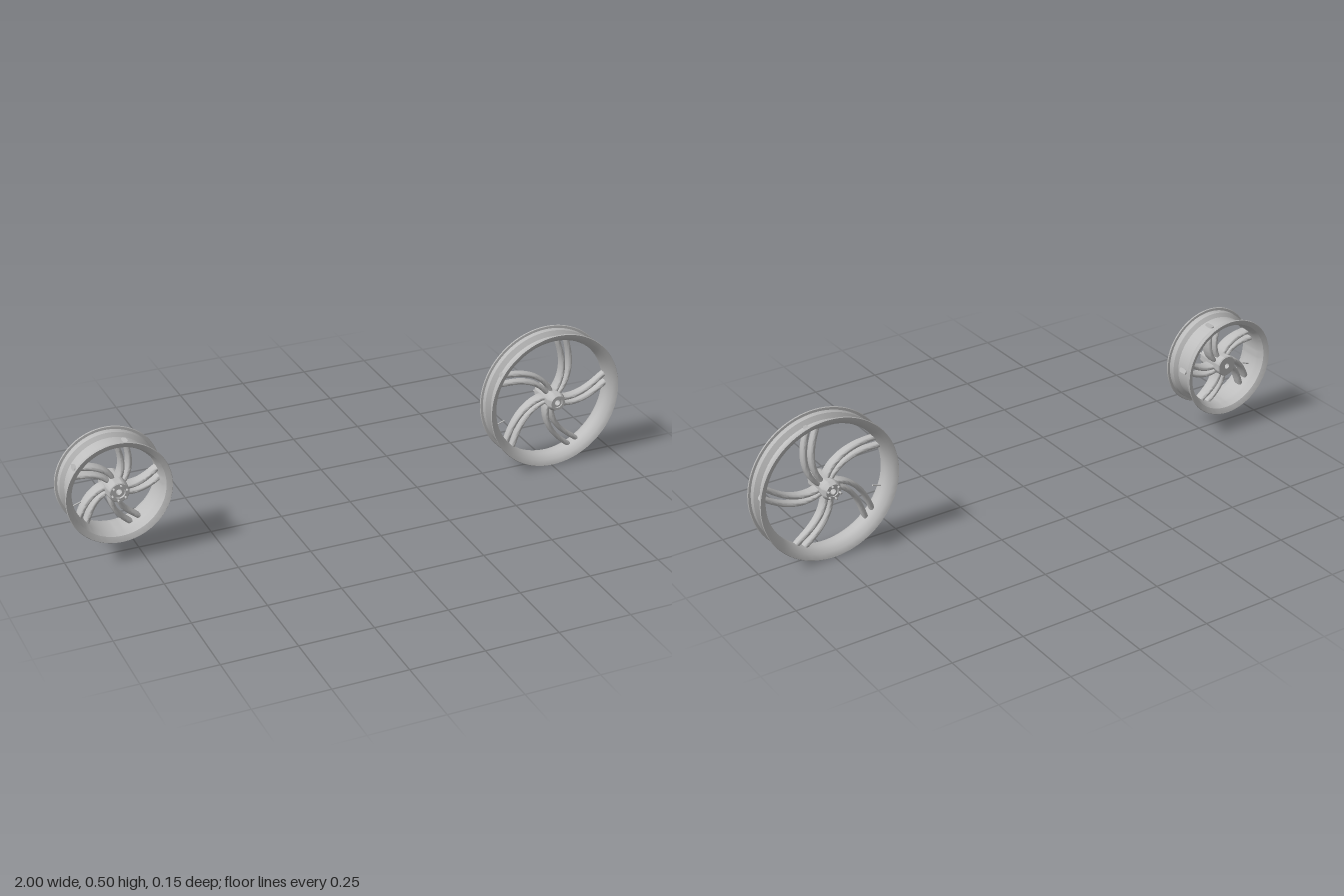
import * as THREE from 'three';
import { toCreasedNormals } from 'three/addons/utils/BufferGeometryUtils.js';

const metal = new THREE.MeshStandardMaterial({ color: 0xbdbdbd });
metal.name = 'cast grey metal';

function part(name, geometry, parent) {
  const mesh = new THREE.Mesh(geometry, metal);
  mesh.name = name;
  parent.add(mesh);
  return mesh;
}

// Closed [radius, z] profile turned about the axle
function turned(profile, segments = 72) {
  const pts = [...profile, profile[0]].map(([r, z]) => new THREE.Vector2(r, z));
  return toCreasedNormals(new THREE.LatheGeometry(pts, segments).rotateX(Math.PI / 2), 0.6);
}

// Rim: rolled flanges, bead seats, a dropped centre and a hollow inner face
function rimProfile(R, half, seat, drop, well, ramp, inner, wall) {
  const outer = [
    [seat - wall, half - 0.008], [R - 0.006, half - 0.001],
    [R - 0.002, half], [R, half - 0.003], [R - 0.002, half - 0.006],
    [seat + 0.002, half - 0.007], [seat, half - 0.011],
    [seat - 0.002, ramp + 0.006], [seat + 0.001, ramp], [drop, well],
  ];
  const bore = [[inner, well], [inner + 0.003, ramp]];
  const flip = ([r, z]) => [r, -z];
  return [
    ...outer.map(flip), ...outer.slice().reverse(),
    ...bore.slice().reverse(), ...bore.map(flip),
  ];
}

// One swept strand of a curved spoke, bent from a rounded bar
function strandGeometry(o, side) {
  const g = new THREE.CylinderGeometry(1, 1, 1, 16, 24, false).rotateZ(-Math.PI / 2);
  const p = g.attributes.position;
  const centre = (t) => {
    const r = o.r0 + (o.r1 - o.r0) * t;
    const a = THREE.MathUtils.degToRad(o.tip - o.sweep * Math.pow(Math.max(0, 1 - t), 1.2));
    return new THREE.Vector2(r * Math.cos(a), r * Math.sin(a));
  };
  const square = (v) => Math.sign(v) * Math.pow(Math.abs(v), 0.7);
  for (let i = 0; i < p.count; i++) {
    const t = p.getX(i) + 0.5;
    const c = centre(t);
    const d = centre(Math.min(1, t + 0.01)).sub(centre(Math.max(0, t - 0.01))).normalize();
    const spread = side * THREE.MathUtils.lerp(o.spread0, o.spread1, Math.sqrt(t));
    const across = spread + square(p.getY(i)) * o.width;
    const depth = THREE.MathUtils.lerp(o.depth0, o.depth1, t);
    p.setXYZ(i, c.x - d.y * across, c.y + d.x * across, square(p.getZ(i)) * depth);
  }
  return toCreasedNormals(g, 0.8);
}

function makeWheel(name, o) {
  const wheel = new THREE.Group();
  wheel.name = name;
  part('rim', turned(o.rim, 96), wheel);
  part('hub', turned(o.hub, 48), wheel);

  // Five twin-strand spokes
  const strands = [-1, 1].map((s) => strandGeometry(o.spoke, s));
  for (let i = 0; i < 5; i++) {
    const spoke = new THREE.Group();
    spoke.name = 'spoke';
    spoke.rotation.z = (i * Math.PI * 2) / 5;
    strands.forEach((g) => part('spokeStrand', g, spoke));
    wheel.add(spoke);
  }

  // Ring of bolts on one end of the hub
  const bolt = toCreasedNormals(
    new THREE.CylinderGeometry(0.0035, 0.0035, 0.018, 8).rotateX(Math.PI / 2), 0.6);
  for (let i = 0; i < 6; i++) {
    const a = (i * Math.PI) / 3 + 0.3;
    part('hubBolt', bolt, wheel).position.set(
      o.boltRadius * Math.cos(a), o.boltRadius * Math.sin(a), o.boltSide * 0.064);
  }

  // Valve stem pointing in from the rim
  const valve = part('valveStem', new THREE.CylinderGeometry(0.0025, 0.0025, 0.035, 10), wheel);
  const a = THREE.MathUtils.degToRad(199);
  valve.position.set(o.valveRadius * Math.cos(a), o.valveRadius * Math.sin(a), 0);
  valve.rotation.z = a - Math.PI / 2;
  return wheel;
}

export function createModel() {
  const model = new THREE.Group();
  model.name = 'wheelPair';

  const large = makeWheel('largeWheel', {
    rim: rimProfile(0.248, 0.045, 0.236, 0.221, 0.011, 0.021, 0.214, 0.008),
    hub: [
      [0.010, -0.058], [0.016, -0.058], [0.017, -0.062], [0.026, -0.062], [0.034, -0.045],
      [0.031, -0.025], [0.031, 0.025], [0.034, 0.045], [0.026, 0.062], [0.017, 0.062],
      [0.016, 0.058], [0.010, 0.058],
    ],
    spoke: {
      r0: 0.024, r1: 0.219, tip: 81, sweep: 40, width: 0.0085,
      spread0: 0.006, spread1: 0.016, depth0: 0.021, depth1: 0.013,
    },
    boltRadius: 0.022, boltSide: -1, valveRadius: 0.2,
  });
  large.position.set(0.752, 0.248, 0);

  const small = makeWheel('smallWheel', {
    rim: rimProfile(0.178, 0.065, 0.166, 0.154, 0.028, 0.038, 0.147, 0.008),
    hub: [
      [0.010, -0.050], [0.034, -0.050], [0.037, -0.046], [0.037, 0.030], [0.034, 0.058],
      [0.031, 0.061], [0.020, 0.061], [0.019, 0.055], [0.010, 0.055],
    ],
    spoke: {
      r0: 0.028, r1: 0.152, tip: 79, sweep: 36, width: 0.0085,
      spread0: 0.007, spread1: 0.015, depth0: 0.026, depth1: 0.018,
    },
    boltRadius: 0.0255, boltSide: 1, valveRadius: 0.135,
  });
  small.position.set(-0.822, 0.247, 0);

  model.add(large, small);
  return model;
}
